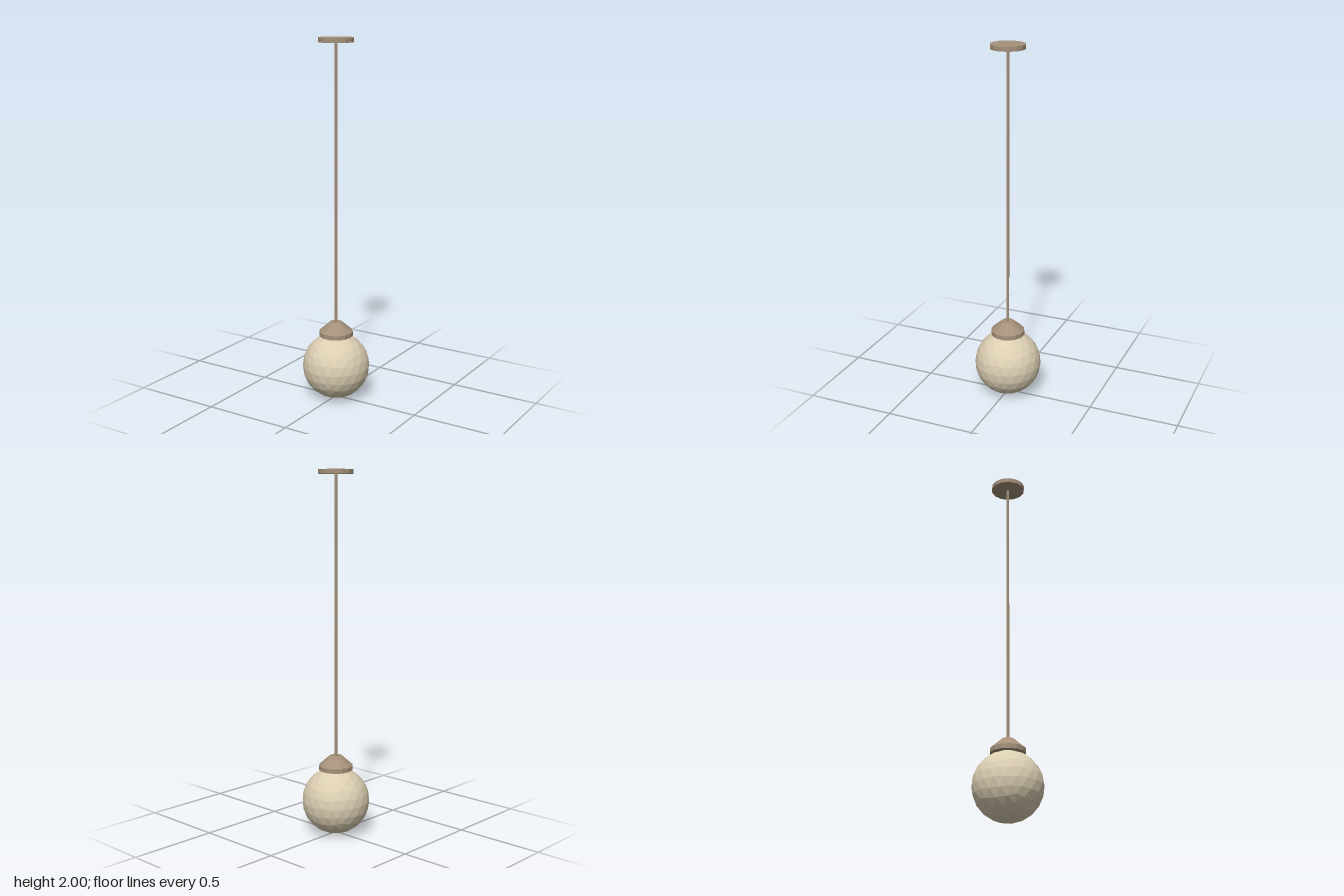
import * as THREE from 'three';

const SIDES = 14;

export function createModel() {
  const model = new THREE.Group();
  model.name = 'pendantLamp';
  const metal = new THREE.MeshStandardMaterial({ color: 0xa5917a, flatShading: true });
  metal.name = 'warm metal';
  const glass = new THREE.MeshStandardMaterial({ color: 0xdbceb2, flatShading: true });
  glass.name = 'cream glass';

  // Upright round part between two heights, with a corner on the x axis
  function roundPart(name, bottom, top, rBottom, rTop, sides = SIDES) {
    const geometry = new THREE.CylinderGeometry(
      rTop, rBottom, top - bottom, sides, 1, false, Math.PI / 2);
    const mesh = new THREE.Mesh(geometry, metal);
    mesh.name = name;
    mesh.position.y = (bottom + top) / 2;
    model.add(mesh);
  }

  roundPart('ceilingCanopy', 1.975, 2, 0.094, 0.094);
  roundPart('rod', 0.43, 1.98, 0.008, 0.008, 8);
  roundPart('holderCone', 0.388, 0.442, 0.094, 0.033);
  roundPart('holderRing', 0.363, 0.388, 0.094, 0.094);

  // Faceted globe, turned so that one corner points straight up
  const radius = 0.187;
  const geometry = new THREE.IcosahedronGeometry(radius, 3);
  geometry.rotateZ(-Math.atan(2 / (1 + Math.sqrt(5))));
  geometry.rotateY(Math.PI);
  const globe = new THREE.Mesh(geometry, glass);
  globe.name = 'globe';
  globe.position.y = radius;
  model.add(globe);

  return model;
}
